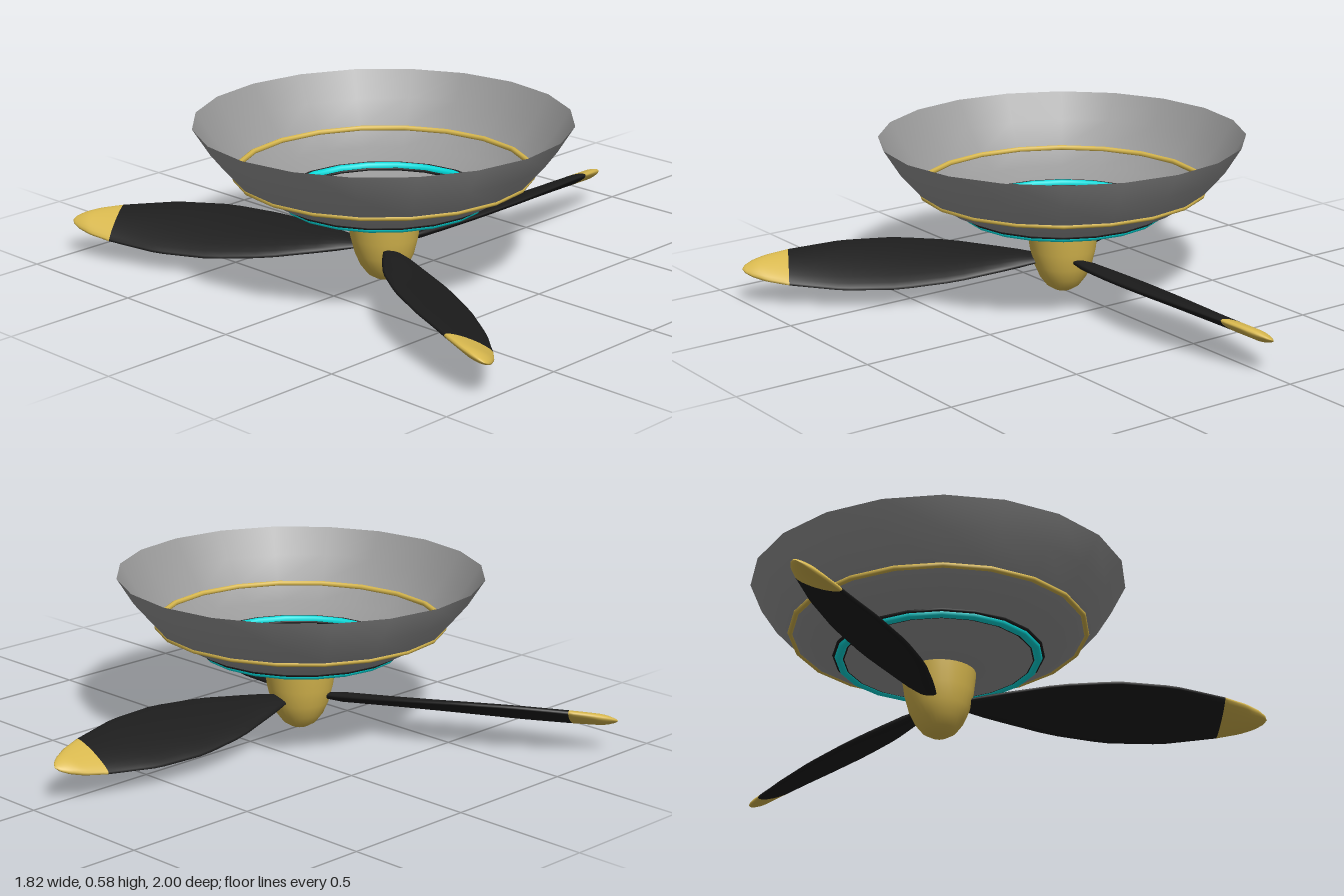
import * as THREE from 'three';

const mat = (color, side = THREE.FrontSide) => new THREE.MeshStandardMaterial({ color, side });
const grey = mat(0x999999, THREE.DoubleSide);
const gold = mat(0xd8b84e, THREE.DoubleSide);
const black = mat(0x1c1c1c, THREE.DoubleSide);
const cyan = mat(0x00dddd);

const SIDES = 20;
const BLADE_Y = 0.125;

function add(parent, name, geometry, material, y = 0) {
  const mesh = new THREE.Mesh(geometry, material);
  mesh.name = name;
  mesh.position.y = y;
  parent.add(mesh);
  return mesh;
}

const lathe = (points, sides) =>
  new THREE.LatheGeometry(points.map(([r, y]) => new THREE.Vector2(r, y)), sides);

// Horizontal hoop whose corners line up with those of the bowl
function hoop(radius, tube) {
  return new THREE.TorusGeometry(radius, tube, 8, SIDES).rotateX(Math.PI / 2);
}

// Half-chord of the blade against distance from the hub axis
const chordStops = [[0.09, 0.03], [0.2, 0.068], [0.4, 0.125], [0.6, 0.148],
  [0.8, 0.135], [0.99, 0.092], [1.07, 0.066], [1.12, 0.04], [1.145, 0.02], [1.155, 0.001]];
function halfChord(r) {
  let i = 1;
  while (i < chordStops.length - 1 && r > chordStops[i][0]) i++;
  const [r0, c0] = chordStops[i - 1];
  const [r1, c1] = chordStops[i];
  return THREE.MathUtils.lerp(c0, c1, (r - r0) / (r1 - r0));
}

// Twisted loft of thin elliptical sections along +x
function bladeGeometry(from, to, rows) {
  const around = 20;
  const positions = [];
  const index = [];
  for (let i = 0; i <= rows; i++) {
    const r = THREE.MathUtils.lerp(from, to, Math.sin((i / rows) * Math.PI / 2));
    const chord = halfChord(r);
    const thick = Math.min(0.018, chord * 0.35);
    const twist = THREE.MathUtils.degToRad(16 + 11 * r);
    for (let j = 0; j < around; j++) {
      const a = (j / around) * Math.PI * 2;
      const z = Math.cos(a) * chord;
      const y = Math.sin(a) * thick;
      positions.push(r, y * Math.cos(twist) + z * Math.sin(twist),
        z * Math.cos(twist) - y * Math.sin(twist));
      if (i < rows) {
        const p = i * around + j;
        const q = i * around + (j + 1) % around;
        index.push(p, p + around, q, q, p + around, q + around);
      }
    }
  }
  const geometry = new THREE.BufferGeometry();
  geometry.setAttribute('position', new THREE.Float32BufferAttribute(positions, 3));
  geometry.setIndex(index);
  geometry.computeVertexNormals();
  return geometry;
}

export function createModel() {
  const model = new THREE.Group();
  model.name = 'propellerBowl';
  const body = new THREE.Group();
  body.name = 'body';
  body.position.x = -0.25;
  model.add(body);

  // Open bowl with a flat floor
  add(body, 'bowl', lathe([[0, 0.247], [0.13, 0.247], [0.24, 0.262], [0.35, 0.3],
    [0.44, 0.345], [0.52, 0.395], [0.6, 0.485], [0.66, 0.58]], SIDES), grey);

  // Decorative hoops set into the bowl wall
  add(body, 'goldHoop', hoop(0.517, 0.01), gold, 0.395);
  add(body, 'cyanHoop', hoop(0.346, 0.016), cyan, 0.302);
  add(body, 'darkOuterHoop', hoop(0.363, 0.007), black, 0.308);
  add(body, 'darkInnerHoop', hoop(0.329, 0.005), black, 0.297);

  // Hub with its open shaft
  add(body, 'hub', lathe([[0, 0], [0.03, 0.004], [0.06, 0.022], [0.085, 0.055],
    [0.105, 0.1], [0.12, 0.16], [0.13, 0.235]], 32), gold);
  add(body, 'hubTop', new THREE.CircleGeometry(0.13, 32).rotateX(-Math.PI / 2), gold, 0.235);
  add(body, 'shaft', new THREE.CylinderGeometry(0.03, 0.03, 0.07, 16, 1, true), gold, 0.255);

  // Three twisted blades with gold tips
  const rootGeometry = bladeGeometry(0.09, 0.99, 20);
  const tipGeometry = bladeGeometry(0.99, 1.155, 14);
  for (let i = 0; i < 3; i++) {
    const blade = new THREE.Group();
    blade.name = 'blade' + (i + 1);
    blade.position.y = BLADE_Y;
    blade.rotation.y = (i * Math.PI * 2) / 3;
    add(blade, 'bladeBody', rootGeometry, black);
    add(blade, 'bladeTip', tipGeometry, gold);
    body.add(blade);
  }
  return model;
}
